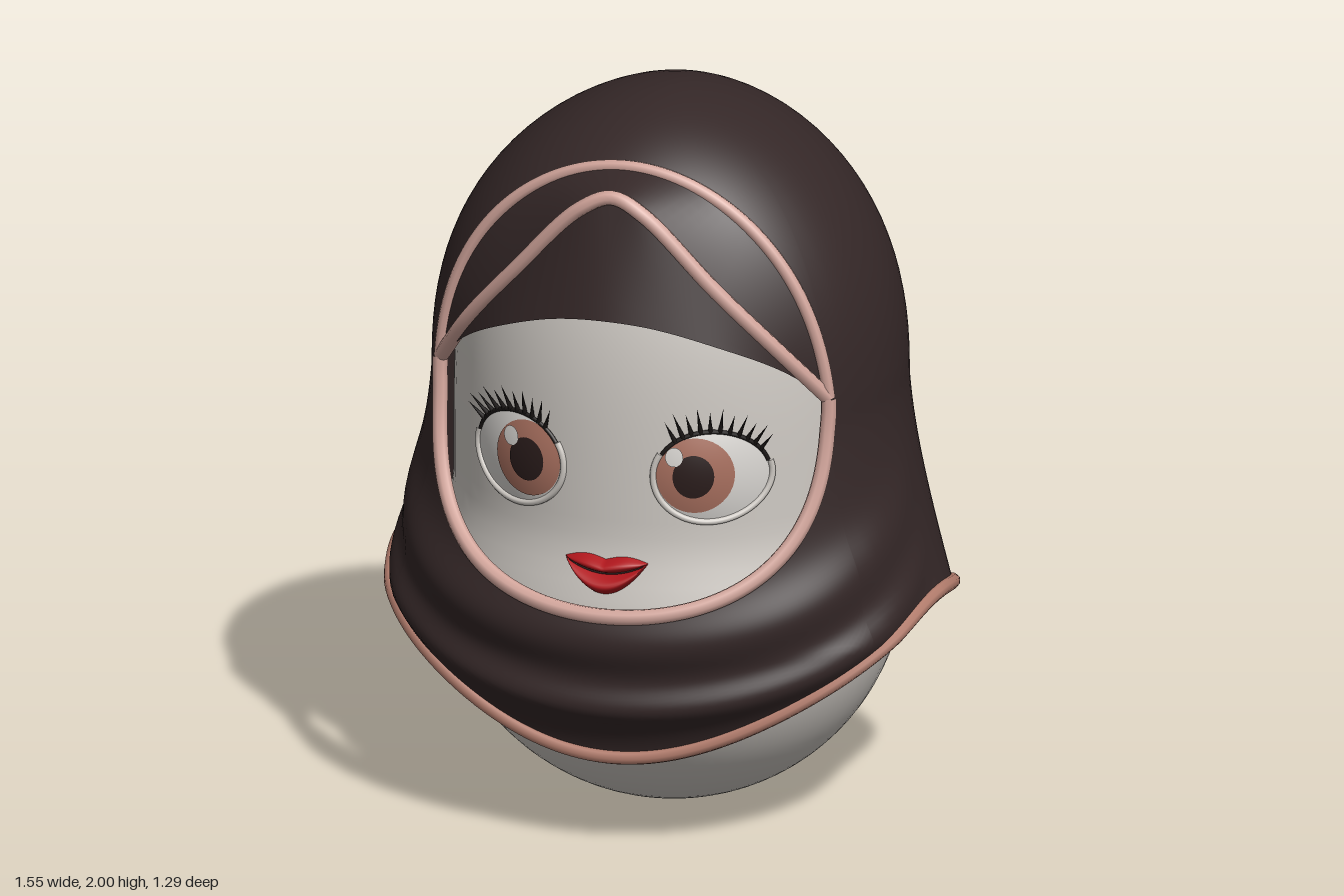
import * as THREE from 'three';
import { mergeGeometries, mergeVertices } from 'three/addons/utils/BufferGeometryUtils.js';

const { sin, cos, acos, sqrt, abs, max, min, exp, PI } = Math;
const lerp = THREE.MathUtils.lerp, smooth = THREE.MathUtils.smoothstep;
const V = (x, y, z) => new THREE.Vector3(x, y, z);

const mat = (name, color, side = THREE.FrontSide) => {
  const m = new THREE.MeshStandardMaterial({ color, side });
  m.name = name;
  return m;
};

// Grid surface from a rule fn(u, v) -> Vector3
function sheet(fn, nu, nv) {
  const pos = [], idx = [];
  for (let j = 0; j <= nv; j++)
    for (let i = 0; i <= nu; i++) pos.push(...fn(i / nu, j / nv).toArray());
  for (let j = 0; j < nv; j++)
    for (let i = 0; i < nu; i++) {
      const a = j * (nu + 1) + i, d = a + nu + 1;
      idx.push(a, a + 1, d, a + 1, d + 1, d);
    }
  const g = new THREE.BufferGeometry();
  g.setAttribute('position', new THREE.Float32BufferAttribute(pos, 3));
  g.setIndex(idx);
  return g;
}
function weld(...geos) {
  const g = mergeVertices(mergeGeometries(geos), 1e-4);
  g.computeVertexNormals();
  return g;
}

// Body: round base, slightly narrower head
const BODY_Z = 0.93;
function bodyR(y) {
  if (y < 0.635) return sqrt(max(0, 0.635 ** 2 - (0.635 - y) ** 2));
  if (y < 0.9) return 0.635 - 0.05 * smooth(y, 0.635, 0.9);
  return 0.585 * sqrt(max(0, 1 - ((y - 0.9) / 1.02) ** 4));
}
const faceZ = (x, y) => BODY_Z * sqrt(max(0, bodyR(y) ** 2 - x * x));

// Hood: a flared dome; angle t runs from the front towards +x
const SIDE_Y = 1.27, TOP_Y = 1.88;
function hoodRz(y) {
  const u = max(0, (y - 1.2) / 0.8);
  return 0.59 * sqrt(max(0, 1 - u ** 2.8));
}
function hoodPoint(t, y) {
  const c = cos(t), u = min(1, max(0, (y - 1.2) / 0.8)), d = min(0.62, max(0, 1.2 - y));
  const rx = 0.645 * (1 - u ** 2.3) ** 0.55 + 0.25 * d ** 1.4;
  const rz = hoodRz(y) + (c < 0 ? 0.05 * (1 - smooth(y, 0.6, 1.1)) : 0);
  // soft folds draped under the face
  const f = y - 0.35 * (1 - c);
  const folds = 0.075 * exp(-(((f - 0.61) / 0.09) ** 2)) + 0.065 * exp(-(((f - 0.43) / 0.055) ** 2))
    - 0.075 * (1 - smooth(f, 0.26, 0.42));
  const k = 1 + max(0, c) * folds;
  return V(rx * k * sin(t), y, rz * k * c);
}
const hemY = t => cos(t) > 0 ? 0.64 - 0.37 * cos(t) ** 2 : 0.64 - 0.24 * abs(cos(t)) ** 1.5;

// Face opening, s from -1 to 1, as [angle, height]
const SIDE_T = acos(0.31 / hoodRz(SIDE_Y));
const lowerEdge = s => [SIDE_T * sin(s * PI / 2), SIDE_Y - 0.58 * cos(s * PI / 2)];
function upperEdge(s) {
  const y = TOP_Y - (TOP_Y - SIDE_Y) * s * s;
  const z = lerp(hoodRz(TOP_Y), 0.31, s * s);
  return [Math.sign(s) * acos(min(1, z / hoodRz(y))), y];
}
const backEdge = u => [lerp(SIDE_T, 2 * PI - SIDE_T, u), SIDE_Y];

function hoodGeometry() {
  const low = edge => (u, v) => {
    const [t, y] = edge(u);
    return hoodPoint(t, lerp(hemY(t), y, v));
  };
  const high = edge => (u, v) => {
    const [t, y] = edge(u);
    return hoodPoint(t, y + (2 - y) * sin(v * PI / 2));
  };
  return weld(
    sheet(low(u => lowerEdge(2 * u - 1)), 64, 40), sheet(low(backEdge), 72, 40),
    sheet(high(u => upperEdge(2 * u - 1)), 64, 24), sheet(high(backEdge), 72, 24));
}

const sample = (n, fn) => Array.from({ length: n }, (_, i) => fn(i / (n - 1)));
const tube = (pts, r, closed = false, seg = 120) =>
  new THREE.TubeGeometry(new THREE.CatmullRomCurve3(pts, closed), seg, r, 8, closed);
// Left-right symmetric curve from its centre point and +x half
const mirrored = half => new THREE.CatmullRomCurve3([
  ...half.slice(1).reverse().map(([x, y, z]) => V(-x, y, z)), ...half.map(p => V(...p))]);

export function createModel() {
  const root = new THREE.Group();
  root.name = 'veiledDoll';
  const skin = mat('skin', 0xcfcac4), cloth = mat('darkCloth', 0x342727, THREE.DoubleSide);
  const pink = mat('pinkTrim', 0xd3a69c), rose = mat('roseTrim', 0xb27c6c);
  const white = mat('eyeWhite', 0xd9d6d2), brown = mat('irisBrown', 0xa9705f);
  const dark = mat('pupilDark', 0x2a1c1b), black = mat('lashBlack', 0x1a1615);
  const red = mat('lipRed', 0xb0161c, THREE.DoubleSide);
  const add = (name, geo, m, parent = root) => {
    const mesh = new THREE.Mesh(geo, m);
    mesh.name = name;
    parent.add(mesh);
    return mesh;
  };

  // Body and head
  const profile = sample(70, k => {
    const y = 0.96 * (1 - cos(k * PI));
    return new THREE.Vector2(bodyR(y), y);
  });
  add('body', new THREE.LatheGeometry(profile, 72), skin).scale.z = BODY_Z;

  // Hood and its piping
  add('hood', hoodGeometry(), cloth);
  add('hemTrim', tube(sample(97, k => hoodPoint(2 * PI * k, hemY(2 * PI * k))).slice(0, -1), 0.02, true, 192), rose);
  add('lowerOpeningTrim', tube(sample(41, k => hoodPoint(...lowerEdge(2 * k - 1))), 0.022), pink);
  add('upperOpeningTrim', tube(sample(41, k => hoodPoint(...upperEdge(2 * k - 1))), 0.018), pink);

  // Under-cap with a peaked band and an overhanging brow
  const peak = mirrored([[0, 1.84, 0.5], [0.09, 1.8, 0.505], [0.28, 1.6, 0.475], [0.43, 1.43, 0.41], [0.545, 1.27, 0.31]]);
  const brow = mirrored([[0, 1.52, 0.59], [0.14, 1.505, 0.57], [0.3, 1.45, 0.51], [0.44, 1.37, 0.41], [0.545, 1.27, 0.31]]);
  const rim = u => hoodPoint(...upperEdge(2 * u - 1));
  const inner = u => brow.getPoint(u).add(V(0, 0.02, -0.1));
  const ruled = (a, b) => sheet((u, v) => a(u).lerp(b(u), v), 60, 6);
  const peakAt = u => peak.getPoint(u), browAt = u => brow.getPoint(u);
  [['capFront', browAt, peakAt], ['capTop', peakAt, rim], ['capUnderside', inner, browAt]]
    .forEach(([name, a, b]) => add(name, weld(ruled(a, b)), cloth));
  add('peakTrim', new THREE.TubeGeometry(peak, 100, 0.021, 8), pink);

  // Eyes: layered discs that follow a shallow bulge on the face
  for (const side of [1, -1]) {
    const eye = new THREE.Group();
    eye.name = side > 0 ? 'leftEye' : 'rightEye';
    root.add(eye);
    const ex = 0.27 * side, ey = 1.075, rx = 0.14, ry = 0.125;
    const eyeZ = (x, y) => faceZ(x, y) + 0.02 * max(0, 1 - ((x - ex) / rx) ** 2 - ((y - ey) / ry) ** 2);
    const disc = (name, cx, cy, a, b, lift, m) => add(name, weld(sheet((u, v) => {
      const x = cx + a * (1 - v) * cos(2 * PI * u), y = cy + b * (1 - v) * sin(2 * PI * u);
      return V(x, y, eyeZ(x, y) + lift);
    }, 40, 10)), m, eye);
    const ix = 0.235 * side;
    disc('sclera', ex, ey, rx, ry, 0.003, white);
    disc('iris', ix, 1.08, 0.1, 0.105, 0.006, brown);
    disc('pupil', ix, 1.08, 0.053, 0.06, 0.009, dark);
    disc('highlight', ix - 0.05, 1.135, 0.024, 0.026, 0.012, white);
    const lid = (deg, k = 1) => {
      const a = deg * PI / 180, x = ex + side * rx * k * cos(a), y = ey + ry * k * sin(a);
      return V(x, y, faceZ(x, y) + 0.004);
    };
    add('lashLine', tube(sample(15, k => lid(lerp(15, 150, k))), 0.006, false, 40), black, eye);
    add('lowerLid', tube(sample(21, k => lid(lerp(150, 375, k), 1.03)), 0.009, false, 50), skin, eye);
    // Curled lashes fanning outwards
    for (let i = 0; i < 11; i++) {
      const deg = lerp(32, 128, i / 10), a = deg * PI / 180, len = 0.07 + 0.015 * (i % 2);
      const dir = V(side * (cos(a) * 0.7 + 0.1), 0.9, 0.35).normalize();
      const lash = add('lash', new THREE.ConeGeometry(0.007, len, 6), black, eye);
      lash.position.copy(lid(deg)).addScaledVector(dir, len / 2);
      lash.quaternion.setFromUnitVectors(V(0, 1, 0), dir);
    }
  }

  // Lips: two bulging strips meeting at the mouth line
  const lip = (bottom, top, out) => weld(sheet((u, v) => {
    const s = 2 * u - 1, x = 0.115 * s, y = lerp(bottom(s), top(s), v);
    return V(x, y, faceZ(x, y) + 0.003 + out * sin(PI * v) * (1 - s * s) ** 0.6);
  }, 32, 10));
  const mouth = s => 0.797 + 0.03 * s * s;
  add('upperLip', lip(mouth, s => 0.833 + 0.012 * sin(PI * abs(s)) - 0.003 * abs(s), 0.035), red);
  add('lowerLip', lip(s => 0.742 + 0.085 * s * s, mouth, 0.036), red);
  const line = sample(13, k => {
    const s = 1.8 * k - 0.9, x = 0.115 * s;
    return V(x, mouth(s), faceZ(x, mouth(s)) + 0.005);
  });
  add('mouthLine', tube(line, 0.004, false, 30), dark);

  return root;
}
